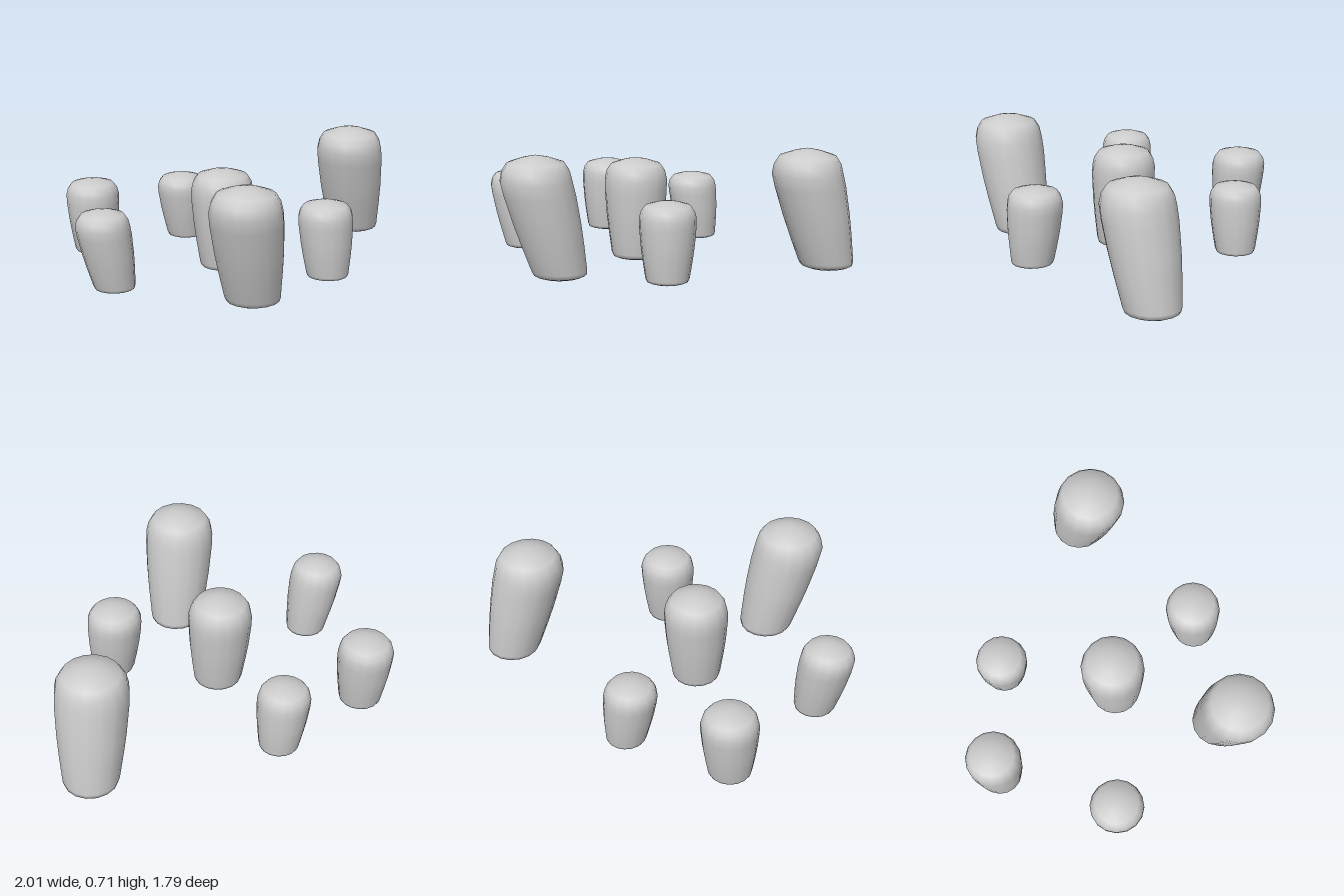
import * as THREE from 'three';
import { mergeVertices } from 'three/addons/utils/BufferGeometryUtils.js';

// Shared profile: radius and height as fractions, tapering down to a flat foot
const PROFILE = [
  [0, 0], [0.6, 0.008], [0.74, 0.025], [0.78, 0.06], [0.88, 0.28], [0.945, 0.45],
  [1, 0.68], [1, 0.79], [0.94, 0.87], [0.8, 0.935], [0.4, 0.975], [0, 1],
].map(([r, y]) => new THREE.Vector2(r, y));

// A rounded pillar whose axis runs from its base centre to its shoulder centre
function leaningPillar(name, radius, height, [bx, bz], [tx, tz]) {
  let geometry = new THREE.LatheGeometry(PROFILE, 16);
  geometry.deleteAttribute('uv');
  geometry.deleteAttribute('normal');
  geometry = mergeVertices(geometry, 1e-4);
  const p = geometry.attributes.position;
  for (let i = 0; i < p.count; i++) {
    const t = p.getY(i);
    const lean = Math.min(t / 0.8, 1);
    p.setXYZ(
      i,
      p.getX(i) * radius + (tx - bx) * lean,
      t * height,
      p.getZ(i) * radius + (tz - bz) * lean,
    );
  }
  geometry.computeVertexNormals();
  const mesh = new THREE.Mesh(geometry, new THREE.MeshStandardMaterial({ color: 0xcccccc }));
  mesh.name = name;
  mesh.position.set(bx, 0, bz);
  return mesh;
}

export function createModel() {
  const group = new THREE.Group();
  group.name = 'pillarCluster';
  // name, radius, height, base centre [x, z], shoulder centre [x, z]
  const pillars = [
    ['tallFrontPillar', 0.205, 0.71, [0, 0.57], [-0.06, 0.695]],
    ['tallBackPillar', 0.205, 0.71, [0.85, -0.74], [0.79, -0.615]],
    ['centerPillar', 0.185, 0.605, [-0.08, -0.07], [-0.09, -0.08]],
    ['smallBackPillar', 0.15, 0.42, [-0.24, -0.74], [-0.27, -0.72]],
    ['smallLeftPillar', 0.16, 0.465, [0.495, 0.205], [0.48, 0.19]],
    ['smallFrontRightPillar', 0.155, 0.485, [-0.75, 0.25], [-0.815, 0.27]],
    ['smallBackRightPillar', 0.16, 0.46, [-0.83, -0.485], [-0.84, -0.5]],
  ];
  for (const pillar of pillars) group.add(leaningPillar(...pillar));
  return group;
}
